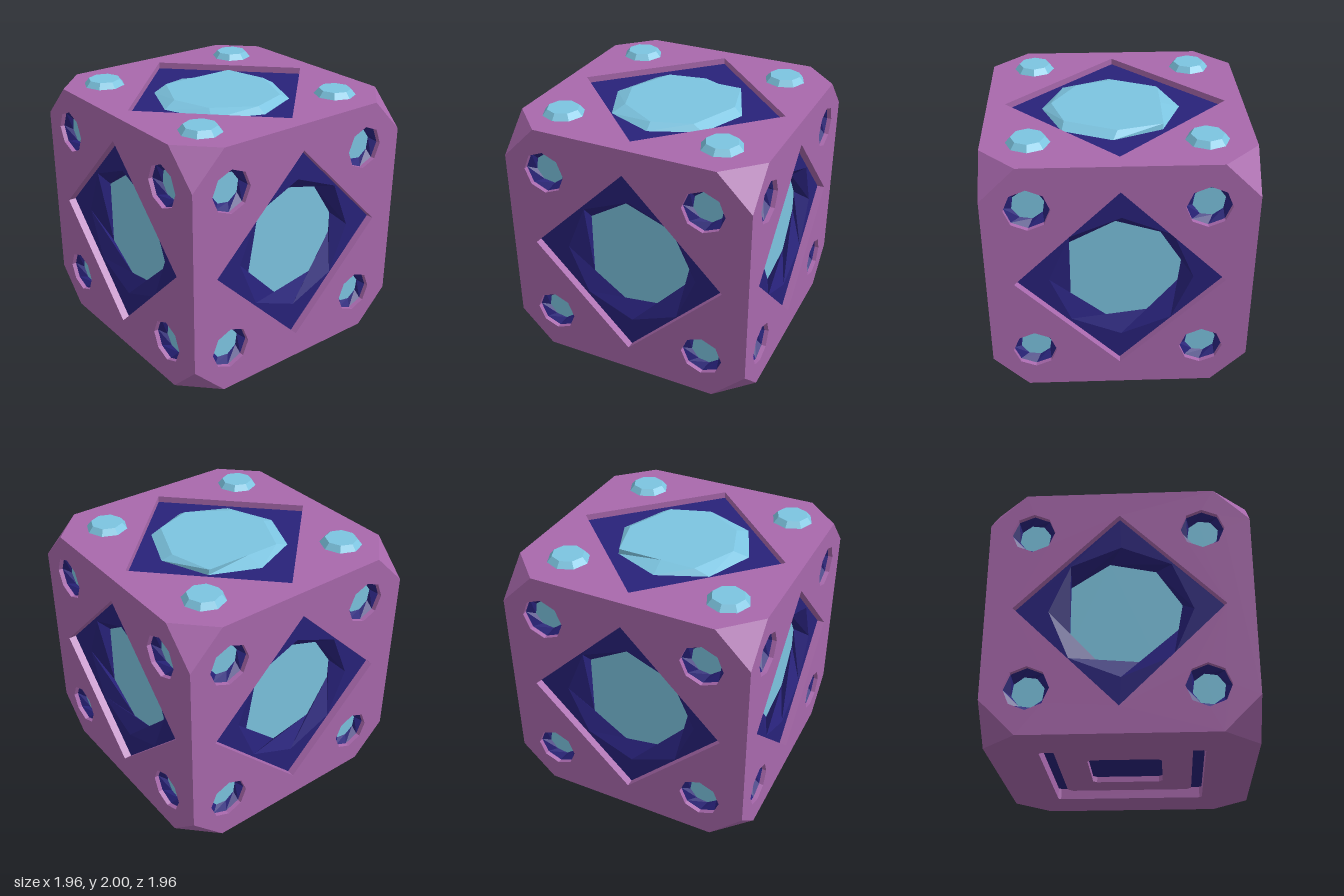
import * as THREE from 'three';

const H = 0.9775, CUT = 0.265; // half size of the cube, leg of the cut corners
const mat = (color) => new THREE.MeshStandardMaterial({ color, flatShading: true });
const purple = mat(0xa868ac), navy = mat(0x28227a), blue = mat(0x7cc4e0);

// Regular loop of n corners, counter-clockwise
function ring(n, r, x = 0, y = 0, turn = 0) {
  return Array.from({ length: n }, (_, i) => {
    const a = turn + (i / n) * Math.PI * 2;
    return [x + r * Math.cos(a), y + r * Math.sin(a)];
  });
}

// Square with its corners cut off
function cutSquare(h, c) {
  const k = h - c;
  return [[h, -k], [h, k], [k, h], [-k, h], [-h, k], [-h, -k], [-k, -h], [k, -h]];
}

function add(parent, name, geometry, material) {
  const mesh = new THREE.Mesh(geometry, material);
  mesh.name = name;
  parent.add(mesh);
  return mesh;
}

// Flat polygon with optional holes at depth z
function plate(parent, name, material, loop, z, holes = []) {
  const toPoints = (l) => l.map(([x, y]) => new THREE.Vector2(x, y));
  const shape = new THREE.Shape(toPoints(loop));
  holes.forEach((h) => shape.holes.push(new THREE.Path(toPoints(h))));
  return add(parent, name, new THREE.ShapeGeometry(shape).translate(0, 0, z), material);
}

// Band of faces from loop a at depth za to loop b at depth zb
function band(parent, name, material, a, za, b, zb) {
  const pos = [];
  a.forEach((_, i) => {
    const j = (i + 1) % a.length;
    const p = [...a[i], za], q = [...a[j], za], r = [...b[j], zb], s = [...b[i], zb];
    pos.push(...p, ...q, ...r, ...p, ...r, ...s);
  });
  const g = new THREE.BufferGeometry();
  g.setAttribute('position', new THREE.Float32BufferAttribute(pos, 3));
  g.computeVertexNormals();
  return add(parent, name, g, material);
}

const faceOutline = cutSquare(H, CUT);

// Side face: diamond recess with a faceted bowl, and four small sockets
function sidePanel() {
  const g = new THREE.Group();
  const diamond = ring(4, 0.775);
  const bowl = ring(8, 0.532, 0.01, -0.005);
  const floor = [[0.46, 0.08], [0.27, 0.37], [-0.08, 0.445], [-0.37, 0.25],
    [-0.37, -0.26], [-0.08, -0.455], [0.27, -0.385], [0.46, -0.09]];
  const sockets = [];
  for (const x of [-0.65, 0.62]) for (const y of [-0.63, 0.64]) sockets.push([x, y]);
  const rims = sockets.map(([x, y]) => ring(8, 0.165, x, y));

  plate(g, 'sideFace', purple, faceOutline, 0, [diamond, ...rims]);
  band(g, 'recessWall', purple, diamond, 0, diamond, -0.06);
  plate(g, 'recessFloor', navy, diamond, -0.06, [bowl]);
  // floor corners start a little after the bowl corners
  band(g, 'bowlWall', navy, bowl, -0.06, floor, -0.17);
  plate(g, 'bowlFloor', blue, floor, -0.17);
  sockets.forEach(([x, y], i) => {
    const inner = ring(8, 0.12, x + 0.005, y, 0.25);
    band(g, 'socketRim', purple, rims[i], 0, rims[i], -0.035);
    band(g, 'socketWall', navy, rims[i], -0.035, inner, -0.085);
    plate(g, 'socketFloor', blue, inner, -0.085);
  });
  return g;
}

// Top face: diamond recess holding a low dome, and four studs
function topPanel() {
  const g = new THREE.Group();
  const diamond = ring(4, 0.84);
  const base = ring(8, 0.527, -0.015, -0.035);
  const crown = [[0.44, 0], [0.35, 0.34], [0, 0.345], [-0.27, 0.345],
    [-0.43, 0], [-0.33, -0.3], [-0.02, -0.49], [0.28, -0.39]];
  plate(g, 'topFace', purple, faceOutline, 0, [diamond]);
  band(g, 'topRecessWall', purple, diamond, 0, diamond, -0.05);
  plate(g, 'topRecessFloor', navy, diamond, -0.05);
  band(g, 'domeSide', blue, base, -0.05, crown, -0.006);
  plate(g, 'domeCrown', blue, crown, -0.006);
  for (const x of [-0.66, 0.61]) for (const y of [-0.64, 0.63]) {
    const foot = ring(8, 0.16, x, y), cap = ring(8, 0.122, x, y);
    band(g, 'studSide', blue, foot, 0, cap, 0.045);
    plate(g, 'studCap', blue, cap, 0.045);
  }
  return g;
}

// Bottom face: square recess with a raised square frame inside
function bottomPanel() {
  const g = new THREE.Group();
  const recess = cutSquare(0.6, 0.02), pad = cutSquare(0.51, 0.04), hole = cutSquare(0.28, 0.03);
  plate(g, 'bottomFace', purple, faceOutline, 0, [recess]);
  band(g, 'bottomRecessWall', purple, recess, 0, recess, -0.09);
  plate(g, 'bottomRecessFloor', navy, recess, -0.09);
  band(g, 'frameOuterWall', purple, pad, -0.09, pad, -0.045);
  plate(g, 'frameFace', purple, pad, -0.045, [hole]);
  band(g, 'frameInnerWall', purple, hole, -0.045, hole, -0.09);
  return g;
}

export function createModel() {
  const model = new THREE.Group();
  model.name = 'cube';
  const place = (panel, name, rx, ry) => {
    const holder = new THREE.Group();
    holder.name = name;
    panel.position.z = H;
    holder.add(panel);
    holder.rotation.set(rx, ry, 0);
    holder.position.y = H;
    model.add(holder);
  };
  ['frontSide', 'leftSide', 'backSide', 'rightSide'].forEach((name, i) =>
    place(sidePanel(), name, 0, (i * Math.PI) / 2));
  place(topPanel(), 'topSide', -Math.PI / 2, 0);
  place(bottomPanel(), 'bottomSide', Math.PI / 2, 0);

  // Triangles closing the cut corners
  const k = H - CUT, pos = [];
  for (const x of [-1, 1]) for (const y of [-1, 1]) for (const z of [-1, 1]) {
    const a = [x * k, y * H, z * H], b = [x * H, y * k, z * H], c = [x * H, y * H, z * k];
    pos.push(...(x * y * z > 0 ? [...a, ...b, ...c] : [...a, ...c, ...b]));
  }
  const corners = new THREE.BufferGeometry();
  corners.setAttribute('position', new THREE.Float32BufferAttribute(pos, 3));
  corners.computeVertexNormals();
  add(model, 'cutCorners', corners, purple).position.y = H;
  return model;
}
